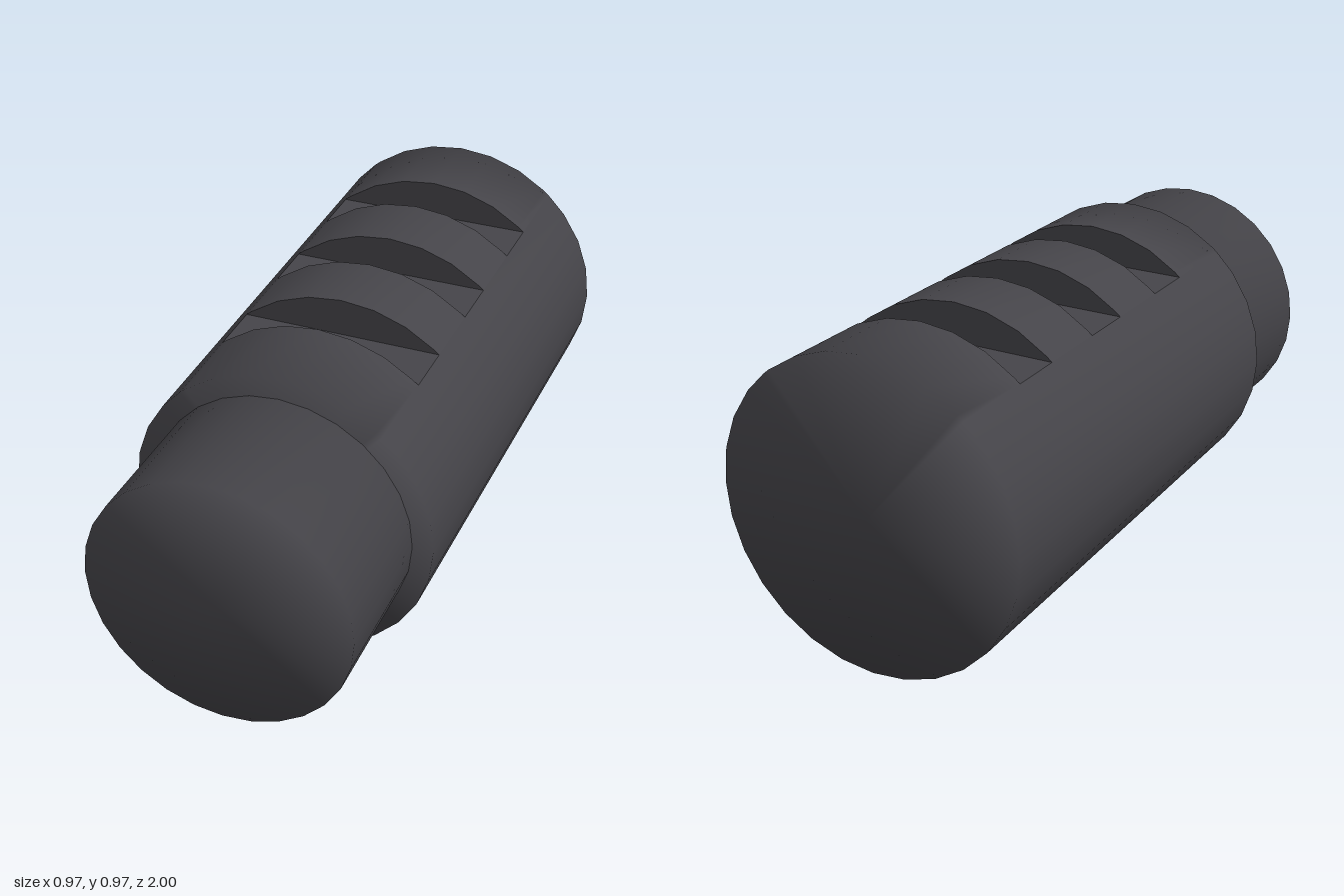
import * as THREE from 'three';
import { mergeVertices } from 'three/addons/utils/BufferGeometryUtils.js';

const SIDES = 28, STEP = (Math.PI * 2) / SIDES;
const CY = 0.4835;                       // height of the long axis
const FRONT = 0.56, BACK = -1;           // ends of the grip body
const CUT = 0.72;                        // half angle spanned by the notches
const NOTCHES = [[0.275, 0.10], [-0.13, -0.305], [-0.54, -0.715]];

// Slightly tapered grip: wider towards the back
const radius = (z) => THREE.MathUtils.mapLinear(z, FRONT, BACK, 0.469, 0.4835);
const at = (a, z) => [radius(z) * Math.sin(a), CY + radius(z) * Math.cos(a), z];

function quad(out, a, b, c, d) {
  out.push(...a, ...b, ...c, ...a, ...c, ...d);
}

// Curved wall over a run of angles, from z0 (front) to z1 (back)
function strip(out, angles, z0, z1) {
  for (let i = 0; i < angles.length - 1; i++) {
    const a = angles[i], b = angles[i + 1];
    quad(out, at(a, z0), at(b, z0), at(b, z1), at(a, z1));
  }
}

// Flat fan from a centre point to the rim
function fan(out, angles, z, centreY, facesFront) {
  for (let i = 0; i < angles.length - 1; i++) {
    const a = at(angles[i], z), b = at(angles[i + 1], z);
    out.push(0, centreY, z, ...(facesFront ? [...b, ...a] : [...a, ...b]));
  }
}

function toGeometry(points) {
  const g = new THREE.BufferGeometry();
  g.setAttribute('position', new THREE.Float32BufferAttribute(points, 3));
  return g;
}

// Share vertices so that normals run smoothly over the rims
function smooth(geometry) {
  geometry.deleteAttribute('normal');
  geometry.deleteAttribute('uv');
  const g = mergeVertices(geometry, 1e-4);
  g.computeVertexNormals();
  return g;
}

export function createModel() {
  const group = new THREE.Group();
  const charcoal = new THREE.MeshStandardMaterial({ color: 0x454449 });
  charcoal.name = 'charcoal';

  const add = (name, geometry) => {
    const mesh = new THREE.Mesh(geometry, charcoal);
    mesh.name = name;
    group.add(mesh);
    return mesh;
  };

  // Angles measured from the top: notched upper arc and plain lower arc
  const upper = [-CUT], lower = [CUT];
  for (let i = -3; i <= 3; i++) upper.push(i * STEP);
  for (let i = 4; i <= SIDES - 4; i++) lower.push(i * STEP);
  upper.push(CUT);
  lower.push(Math.PI * 2 - CUT);

  // Grip body: lower shell, raised ridges between notches, both ends
  const shell = [];
  strip(shell, lower, FRONT, BACK);
  const edges = [FRONT, ...NOTCHES.flat(), BACK];
  for (let i = 0; i < edges.length; i += 2) strip(shell, upper, edges[i], edges[i + 1]);
  for (const arc of [upper, lower]) {
    fan(shell, arc, FRONT, CY, true);
    fan(shell, arc, BACK, CY, false);
  }
  add('gripBody', smooth(toGeometry(shell)));

  // Notches: flat floor with a wall at each end
  NOTCHES.forEach(([zf, zb], i) => {
    const cut = [];
    quad(cut, at(-CUT, zf), at(CUT, zf), at(CUT, zb), at(-CUT, zb));
    fan(cut, upper, zf, at(CUT, zf)[1], false);
    fan(cut, upper, zb, at(CUT, zb)[1], true);
    const g = toGeometry(cut);
    g.computeVertexNormals();
    add('notch' + (i + 1), g);
  });

  // Narrower front barrel
  const barrel = new THREE.CylinderGeometry(0.405, 0.405, 1 - FRONT, SIDES);
  barrel.rotateX(Math.PI / 2);
  add('frontBarrel', smooth(barrel)).position.set(0, CY, (1 + FRONT) / 2);

  return group;
}
